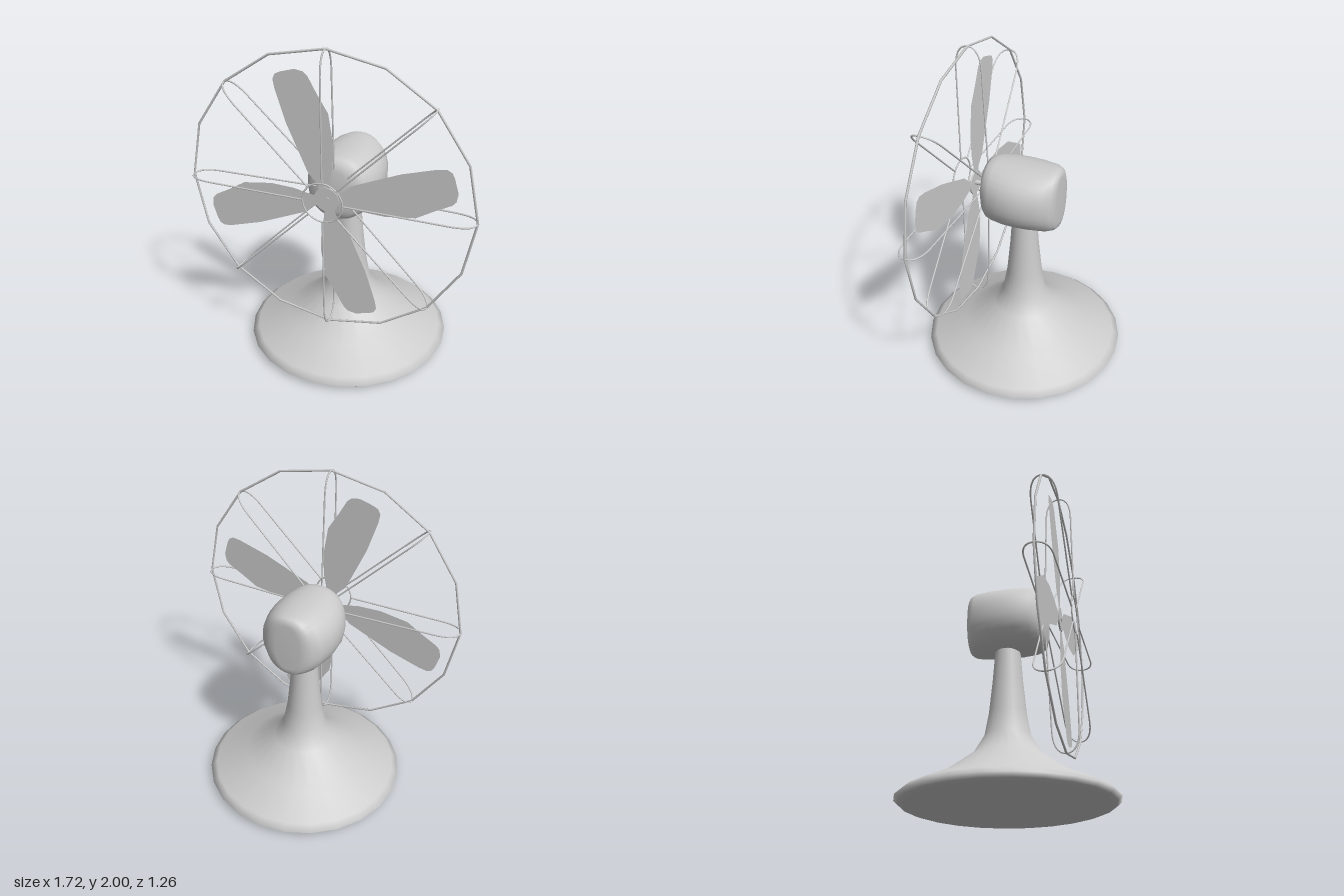
import * as THREE from 'three';
import { mergeVertices } from 'three/addons/utils/BufferGeometryUtils.js';

const V2 = (p) => new THREE.Vector2(p[0], p[1]);

export function createModel() {
  const model = new THREE.Group();
  const grey = new THREE.MeshStandardMaterial({ color: 0xcccccc });
  const thin = new THREE.MeshStandardMaterial({ color: 0xcccccc, side: THREE.DoubleSide });

  const add = (name, geometry, parent = model, material = grey) => {
    const mesh = new THREE.Mesh(geometry, material);
    mesh.name = name;
    parent.add(mesh);
    return mesh;
  };

  // Flared base and neck in one turned piece
  const profile = [
    [0, 0.01], [0.57, 0.005], [0.605, 0.012], [0.63, 0.035], [0.59, 0.07], [0.39, 0.16], [0.2, 0.3],
    [0.135, 0.41], [0.11, 0.55], [0.09, 0.75], [0.075, 0.95],
  ];
  profile[0][1] = 0;
  profile[1][1] = 0;
  add('baseAndNeck', new THREE.LatheGeometry(profile.map(V2), 24));

  add('motorHousing', motorGeometry()).position.y = 1.125;

  // Shaft from the motor to the blades
  const shaft = add('shaft', new THREE.CylinderGeometry(0.015, 0.015, 0.12, 12).rotateX(Math.PI / 2));
  shaft.position.set(-0.005, 1.12, 0.275);

  // Four flat blades on a small hub
  const rotor = new THREE.Group();
  rotor.name = 'rotor';
  rotor.position.set(-0.008, 1.117, 0.325);
  model.add(rotor);
  const outline = [
    [0.03, 0.04], [0.015, 0.08], [0.022, 0.13], [0.037, 0.2], [0.042, 0.345], [0.015, 0.52], [-0.05, 0.625],
    [-0.1, 0.715], [-0.125, 0.737], [-0.175, 0.745], [-0.26, 0.72], [-0.29, 0.705], [-0.305, 0.675],
    [-0.295, 0.62], [-0.235, 0.43], [-0.165, 0.27], [-0.11, 0.145], [-0.055, 0.09], [-0.04, 0.03],
  ];
  const bladeGeometry = new THREE.ShapeGeometry(new THREE.Shape(outline.map(V2)));
  for (let i = 0; i < 4; i++) {
    add('blade', bladeGeometry, rotor, thin).rotation.z = (i * Math.PI) / 2;
  }
  add('hub', new THREE.CylinderGeometry(0.075, 0.075, 0.01, 20).rotateX(Math.PI / 2), rotor);

  // Wire cage: outer hoop, front ring and eight looped wires
  const cage = new THREE.Group();
  cage.name = 'cage';
  cage.position.y = 1.14;
  model.add(cage);
  add('outerHoop', new THREE.TorusGeometry(0.853, 0.007, 6, 16), cage).position.z = 0.335;
  add('frontRing', new THREE.TorusGeometry(0.12, 0.005, 6, 24), cage).position.z = 0.412;

  const loop = new THREE.CurvePath();
  const at = (r, z) => new THREE.Vector3(0, r, z);
  loop.add(new THREE.LineCurve3(at(0.12, 0.412), at(0.71, 0.412)));
  loop.add(new THREE.CubicBezierCurve3(at(0.71, 0.412), at(0.8, 0.412), at(0.853, 0.385), at(0.853, 0.335)));
  loop.add(new THREE.CubicBezierCurve3(at(0.853, 0.335), at(0.853, 0.285), at(0.8, 0.257), at(0.71, 0.255)));
  loop.add(new THREE.LineCurve3(at(0.71, 0.255), at(0.11, 0.233)));
  const wireGeometry = new THREE.TubeGeometry(loop, 64, 0.005, 6);
  for (let i = 0; i < 8; i++) {
    add('cageWire', wireGeometry, cage, thin).rotation.z = (i * Math.PI) / 4;
  }
  return model;
}

// Rounded housing: a turned form whose sections are squared off and narrowed sideways
function motorGeometry() {
  // z, half width, half height
  const sections = [
    [-0.23, 0, 0], [-0.23, 0.08, 0.15], [-0.226, 0.115, 0.18], [-0.21, 0.15, 0.192], [-0.17, 0.19, 0.197],
    [-0.08, 0.217, 0.199], [0, 0.224, 0.2], [0.08, 0.22, 0.2], [0.16, 0.196, 0.198], [0.2, 0.175, 0.192],
    [0.225, 0.145, 0.175], [0.241, 0.09, 0.13], [0.243, 0, 0],
  ];
  const geometry = new THREE.LatheGeometry(sections.map(([z, , h]) => new THREE.Vector2(h, z)), 32);
  geometry.rotateX(Math.PI / 2);
  const p = geometry.attributes.position;
  for (let i = 0; i < p.count; i++) {
    const [, w, h] = sections[i % sections.length];
    if (h === 0) continue;
    const c = p.getX(i) / h, s = p.getY(i) / h;
    const k = Math.pow(Math.abs(c) ** 2.3 + Math.abs(s) ** 2.3, -1 / 2.3);
    p.setXY(i, c * k * w, s * k * h);
  }
  geometry.deleteAttribute('uv');
  geometry.deleteAttribute('normal');
  const merged = mergeVertices(geometry, 1e-4);
  merged.computeVertexNormals();
  return merged;
}
